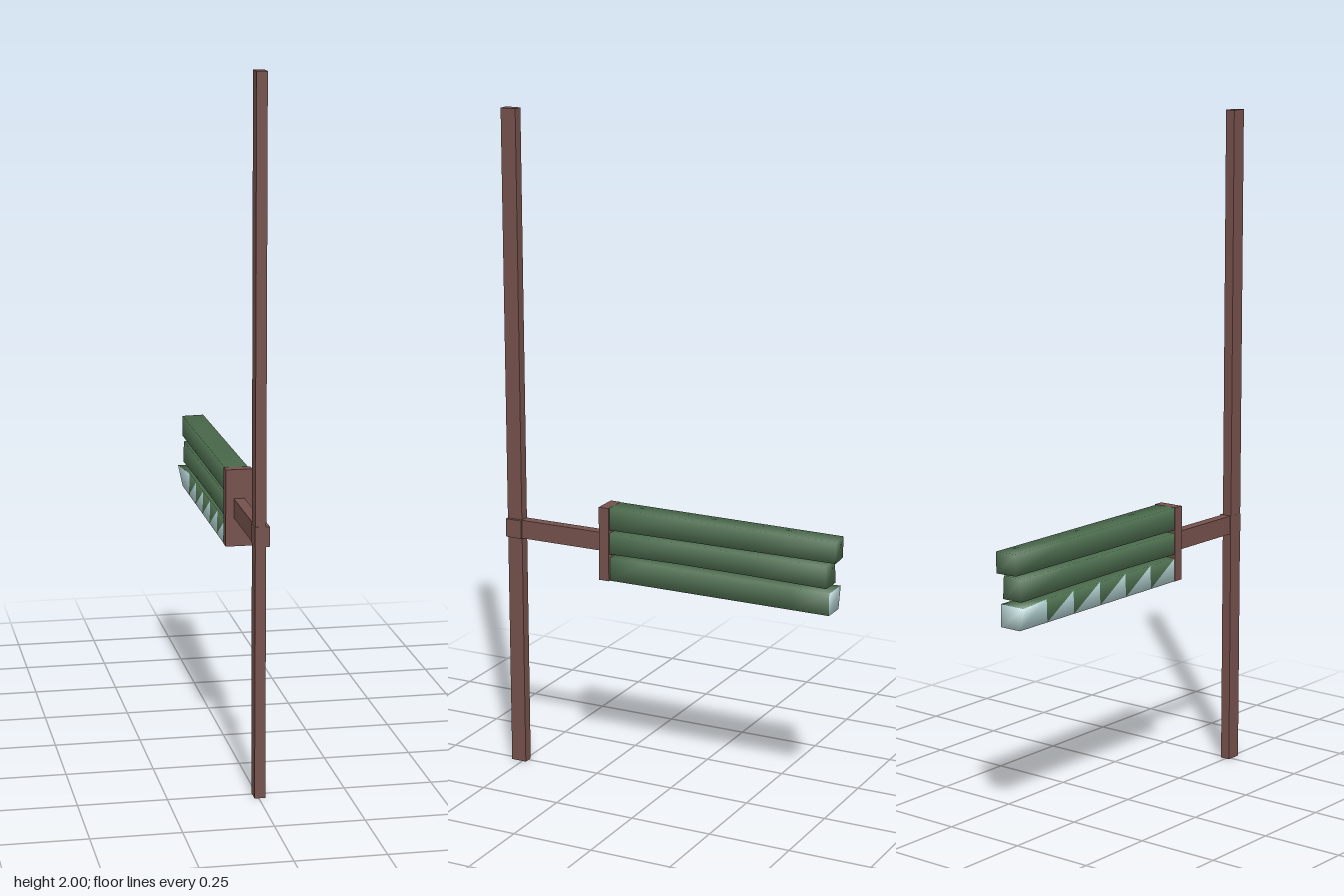
import * as THREE from 'three';
import { mergeVertices } from 'three/addons/utils/BufferGeometryUtils.js';

export function createModel() {
  const model = new THREE.Group();
  model.name = 'postWithSlats';
  const mat = (name, color) => Object.assign(new THREE.MeshStandardMaterial({ color }), { name });
  const wood = mat('brownWood', 0x74504b);
  const green = mat('greenPaint', 0x4e6f50);
  const pale = mat('paleIce', 0xaecccc);

  // Box given by its limits on each axis
  const block = (name, x, y, z) => {
    const mesh = new THREE.Mesh(
      new THREE.BoxGeometry(x[1] - x[0], y[1] - y[0], z[1] - z[0]), wood);
    mesh.position.set((x[0] + x[1]) / 2, (y[0] + y[1]) / 2, (z[0] + z[1]) / 2);
    mesh.name = name;
    model.add(mesh);
  };
  block('post', [-0.012, 0.018], [0, 2], [0.488, 0.536]);
  block('postBracket', [-0.0125, 0.028], [0.718, 0.774], [0.486, 0.537]);
  block('arm', [-0.01, 0.021], [0.718, 0.774], [0.2, 0.49]);
  block('endPlate', [-0.033, 0.043], [0.635, 0.858], [0.182, 0.214]);

  // Softly shaded slat with slightly uneven edges; bend moves its vertices
  const slat = (name, y0, y1, zBack, segments, bend, materials) => {
    const zFront = 0.185;
    let geo = new THREE.BoxGeometry(0.066, y1 - y0, zFront - zBack, 1, 1, segments);
    geo.translate(0.003, (y0 + y1) / 2, (zFront + zBack) / 2);
    geo.deleteAttribute('normal');
    geo.deleteAttribute('uv');
    geo = mergeVertices(geo, 1e-4);
    const p = geo.attributes.position;
    for (let i = 0; i < p.count; i++) {
      const v = new THREE.Vector3().fromBufferAttribute(p, i);
      bend(v, (zFront - v.z) / (zFront - zBack), v.y > (y0 + y1) / 2);
      p.setXYZ(i, v.x, v.y, v.z);
    }
    geo.computeVertexNormals();
    const mesh = new THREE.Mesh(geo, materials);
    mesh.name = name;
    model.add(mesh);
    return geo;
  };

  slat('topSlat', 0.79, 0.858, -0.53, 3, (v, t, top) => {
    v.y -= (top ? 0.004 : -0.002) * t;
    if (t > 0.99) v.z -= v.x > 0 ? 0.006 : 0;
  }, green);
  slat('middleSlat', 0.716, 0.78, -0.505, 3, (v, t, top) => {
    v.y += (top ? 0.001 : 0.003) * Math.sin(t * 4);
    if (t > 0.99 && !top) v.z -= 0.004;
  }, green);

  // Bottom slat: pale underside, end and left face, with pointed green teeth
  const n = 6;
  const geo = slat('bottomSlat', 0.635, 0.705, -0.518, n, (v, t, top) => {
    if (v.x < 0 && top && t > 0.9) v.x -= 0.016;
    if (v.x < 0 && !top) v.x -= 0.002;
    if (top) v.y -= 0.004 * t;
  }, [green, pale]);
  geo.clearGroups();
  geo.addGroup(0, n * 6, 0);
  for (let i = 0; i < n; i++) {
    geo.addGroup((n + i) * 6, 3, i === 0 ? 1 : 0);
    geo.addGroup((n + i) * 6 + 3, 3, 1);
  }
  geo.addGroup(n * 12, n * 6, 0);
  geo.addGroup(n * 18, n * 6, 1);
  geo.addGroup(n * 24, 6, 0);
  geo.addGroup(n * 24 + 6, 6, 1);

  return model;
}
